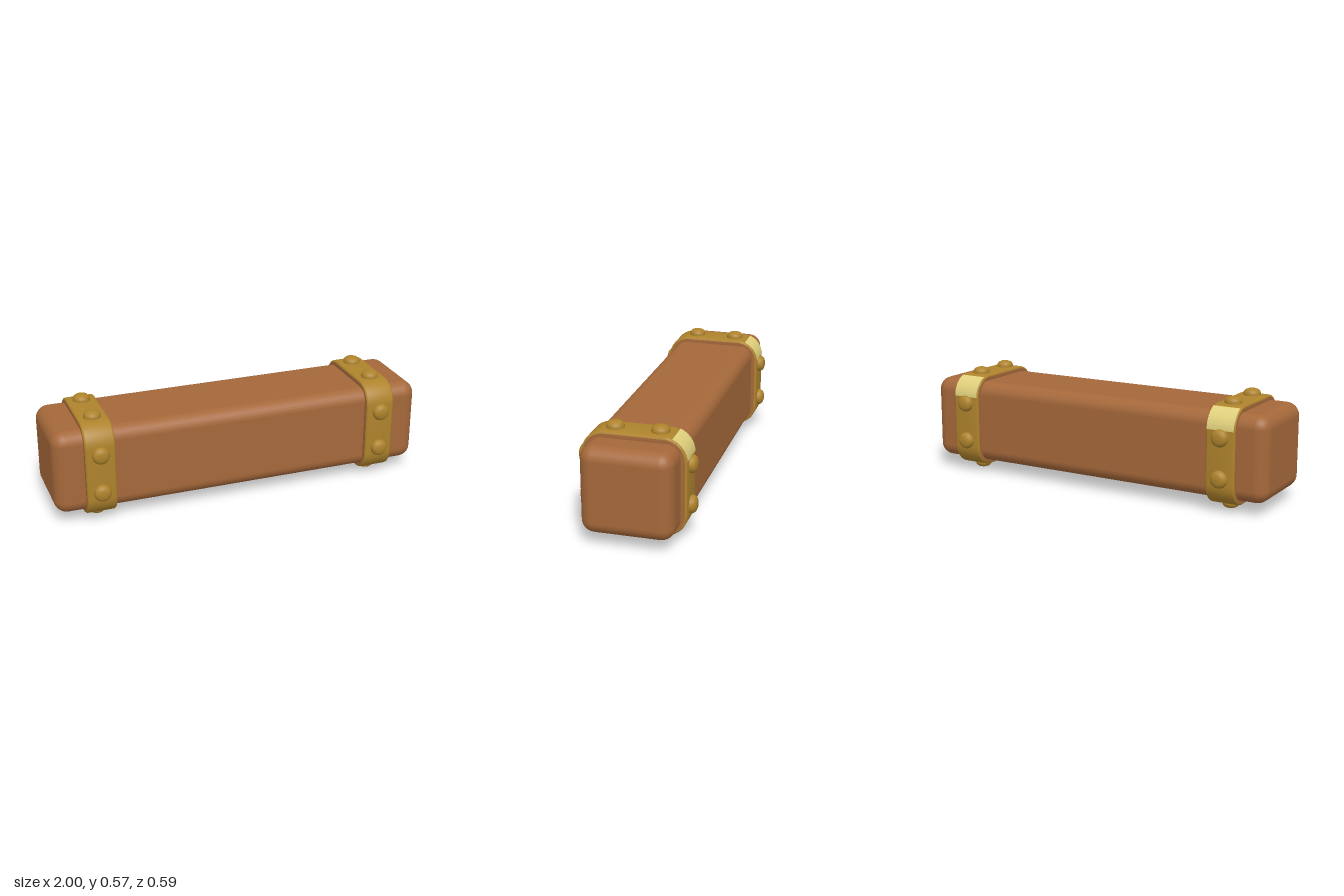
import * as THREE from 'three';
import { toCreasedNormals } from 'three/addons/utils/BufferGeometryUtils.js';
import { RoundedBoxGeometry } from 'three/addons/geometries/RoundedBoxGeometry.js';

const MID_Y = 0.286;
const BAND_X = 0.768, BAND_WIDTH = 0.156;
const BAND_HALF_Z = 0.26, BAND_HALF_Y = 0.252, CORNER = 0.115;

function material(name, color) {
  const m = new THREE.MeshStandardMaterial({ color });
  m.name = name;
  return m;
}

function named(name, geometry, mat) {
  const mesh = new THREE.Mesh(geometry, mat);
  mesh.name = name;
  return mesh;
}

// Trace a rounded rectangle centred on the origin
function roundedRect(path, hw, hh, r) {
  path.moveTo(hw, -hh + r);
  path.lineTo(hw, hh - r);
  path.absarc(hw - r, hh - r, r, 0, Math.PI / 2);
  path.lineTo(-hw + r, hh);
  path.absarc(-hw + r, hh - r, r, Math.PI / 2, Math.PI);
  path.lineTo(-hw, -hh + r);
  path.absarc(-hw + r, -hh + r, r, Math.PI, Math.PI * 1.5);
  path.lineTo(hw - r, -hh);
  path.absarc(hw - r, -hh + r, r, Math.PI * 1.5, Math.PI * 2);
  return path;
}

// Ring swept along x with softened outer edges
function bandGeometry() {
  const bevel = 0.01;
  const shape = roundedRect(new THREE.Shape(), BAND_HALF_Z - bevel, BAND_HALF_Y - bevel, CORNER - bevel);
  shape.holes.push(roundedRect(new THREE.Path(), 0.215, 0.207, 0.07));
  const depth = BAND_WIDTH - 2 * bevel;
  const g = new THREE.ExtrudeGeometry(shape, {
    depth, curveSegments: 8, bevelEnabled: true,
    bevelSize: bevel, bevelThickness: bevel, bevelSegments: 3,
  });
  g.translate(0, 0, -depth / 2);
  g.rotateY(Math.PI / 2);
  return toCreasedNormals(g, 0.7);
}

// Low domed rivet pointing up +y
function rivetGeometry() {
  const profile = [[0.044, -0.012], [0.045, 0.008], [0.041, 0.019], [0.033, 0.027], [0.02, 0.032], [0, 0.033]];
  return new THREE.LatheGeometry(profile.map(([x, y]) => new THREE.Vector2(x, y)), 20);
}

// Thin curved plate over the upper back corner
function cornerPlateGeometry() {
  const sweep = THREE.MathUtils.degToRad(66);
  const g = new THREE.CylinderGeometry(CORNER + 0.002, CORNER + 0.002, BAND_WIDTH - 0.012, 8, 1, true,
    Math.PI - sweep - 0.04, sweep);
  g.rotateZ(Math.PI / 2);
  g.translate(0, BAND_HALF_Y - CORNER, -(BAND_HALF_Z - CORNER));
  return g;
}

export function createModel() {
  const model = new THREE.Group();
  model.name = 'bandedBeam';
  const wood = material('wood', 0xa5683a);
  const brass = material('brass', 0xae832c);
  const paleBrass = material('paleBrass', 0xe0d07c);

  // Main beam
  const beam = named('beam', new RoundedBoxGeometry(2, 0.445, 0.46, 4, 0.068), wood);
  beam.position.y = MID_Y;
  model.add(beam);

  // Two riveted bands
  const bandGeo = bandGeometry(), rivetGeo = rivetGeometry(), plateGeo = cornerPlateGeometry();
  for (const side of [-1, 1]) {
    const band = new THREE.Group();
    band.name = side > 0 ? 'leftBand' : 'rightBand';
    band.position.set(side * BAND_X, MID_Y, 0);
    band.add(named('strap', bandGeo, [wood, brass]));
    band.add(named('cornerPlate', plateGeo, paleBrass));

    // Two rivets on each of the four faces
    for (let face = 0; face < 4; face++) {
      const turn = new THREE.Group();
      turn.name = 'rivetPair';
      turn.rotation.x = face * Math.PI / 2;
      const upright = face % 2 === 0;
      for (const s of [-1, 1]) {
        const rivet = named('rivet', rivetGeo, brass);
        rivet.position.set(0, upright ? BAND_HALF_Y : BAND_HALF_Z, s * (upright ? 0.112 : 0.104));
        turn.add(rivet);
      }
      band.add(turn);
    }
    model.add(band);
  }
  return model;
}
